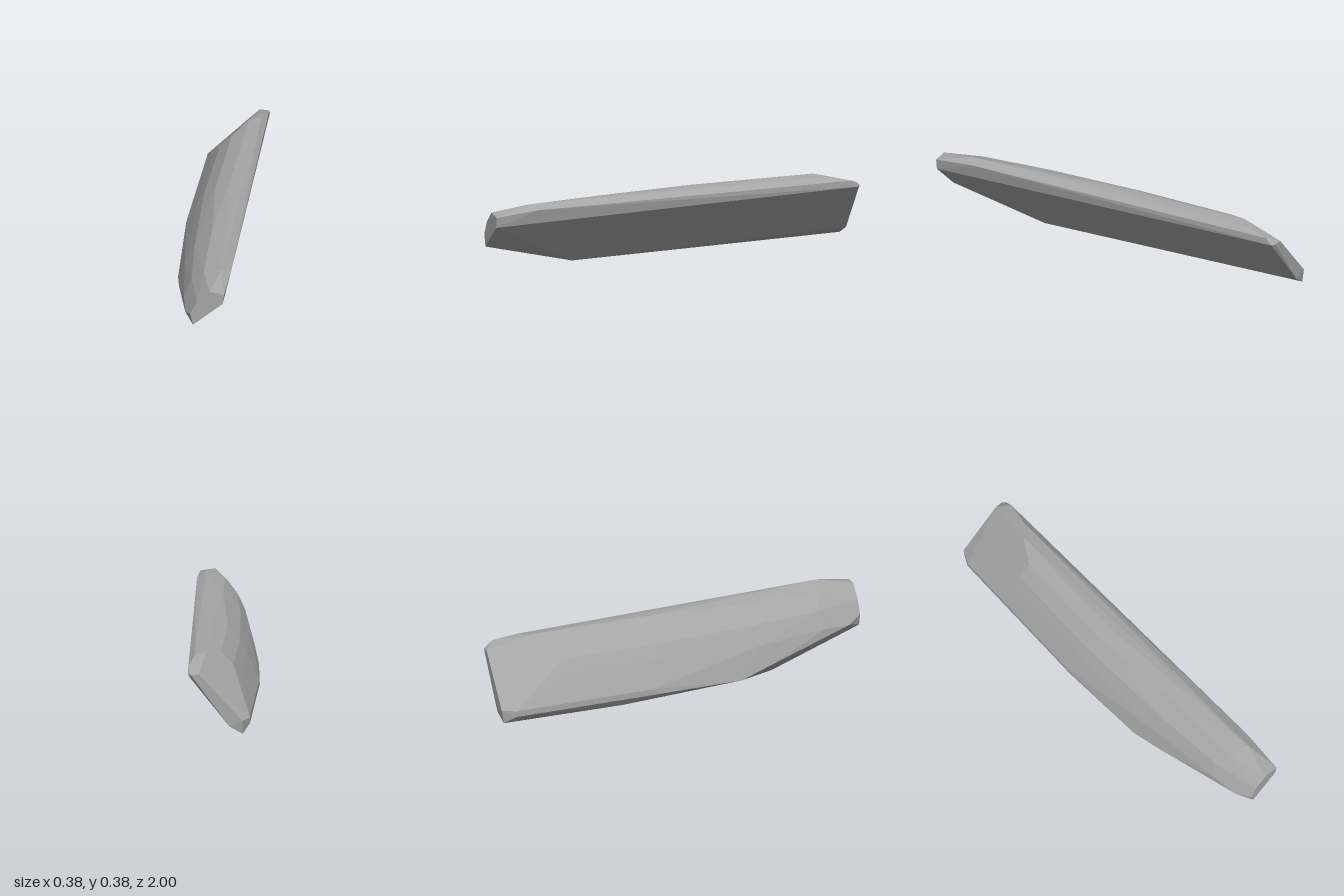
import * as THREE from 'three';
import { ConvexGeometry } from 'three/addons/geometries/ConvexGeometry.js';

// Cross-sections of a faceted slab with one flat inclined face: [x, y, z] corners
const sections = {
  frontCap: [
    [0.025, 0.145, 1], [0.177, 0.277, 1], [0.184, 0.33, 1],
    [0.11, 0.342, 1], [0.045, 0.277, 1], [0.01, 0.21, 1],
  ],
  frontShoulder: [
    [-0.025, 0.177, 0.93], [-0.055, 0.19, 0.78], [-0.02, 0.277, 0.75],
    [0.05, 0.345, 0.8], [0.145, 0.375, 0.82], [0.188, 0.352, 0.78],
  ],
  frontBelly: [
    [-0.055, 0.01, 0.5], [-0.125, 0.077, 0.48], [-0.105, 0.18, 0.42],
    [-0.057, 0.277, 0.4], [0.03, 0.358, 0.4],
    [-0.095, 0.006, 0.35], [-0.157, 0.03, 0.3],
  ],
  middle: [
    [-0.157, 0, -0.35], [-0.19, 0.045, -0.15], [-0.19, 0.077, -0.2],
    [-0.125, 0.212, -0.15], [-0.09, 0.277, -0.15],
    [-0.025, 0.343, -0.1], [0.045, 0.375, -0.1],
  ],
  rearShoulder: [
    [-0.19, 0.045, -0.93], [-0.19, 0.077, -0.93], [-0.125, 0.21, -0.65],
    [-0.088, 0.277, -0.65], [-0.025, 0.343, -0.65],
    [0.045, 0.375, -0.77], [0.1, 0.365, -0.82], [0.122, 0.34, -0.95],
  ],
  rearCap: [
    [0.12, 0.305, -0.985], [0.105, 0.31, -1], [0.065, 0.315, -1],
    [-0.157, 0.075, -1], [-0.157, 0.005, -0.99],
    [-0.09, 0.045, -1],
  ],
};

export function createModel() {
  const group = new THREE.Group();
  group.name = 'stone';
  const stoneGrey = new THREE.MeshStandardMaterial({ color: 0xa6a6a6 });
  stoneGrey.name = 'stoneGrey';

  // The faceted body wraps tightly round all the sections
  const corners = Object.values(sections).flat().map((p) => new THREE.Vector3(...p));
  const body = new THREE.Mesh(new ConvexGeometry(corners), stoneGrey);
  body.name = 'facetedBody';
  group.add(body);
  return group;
}
